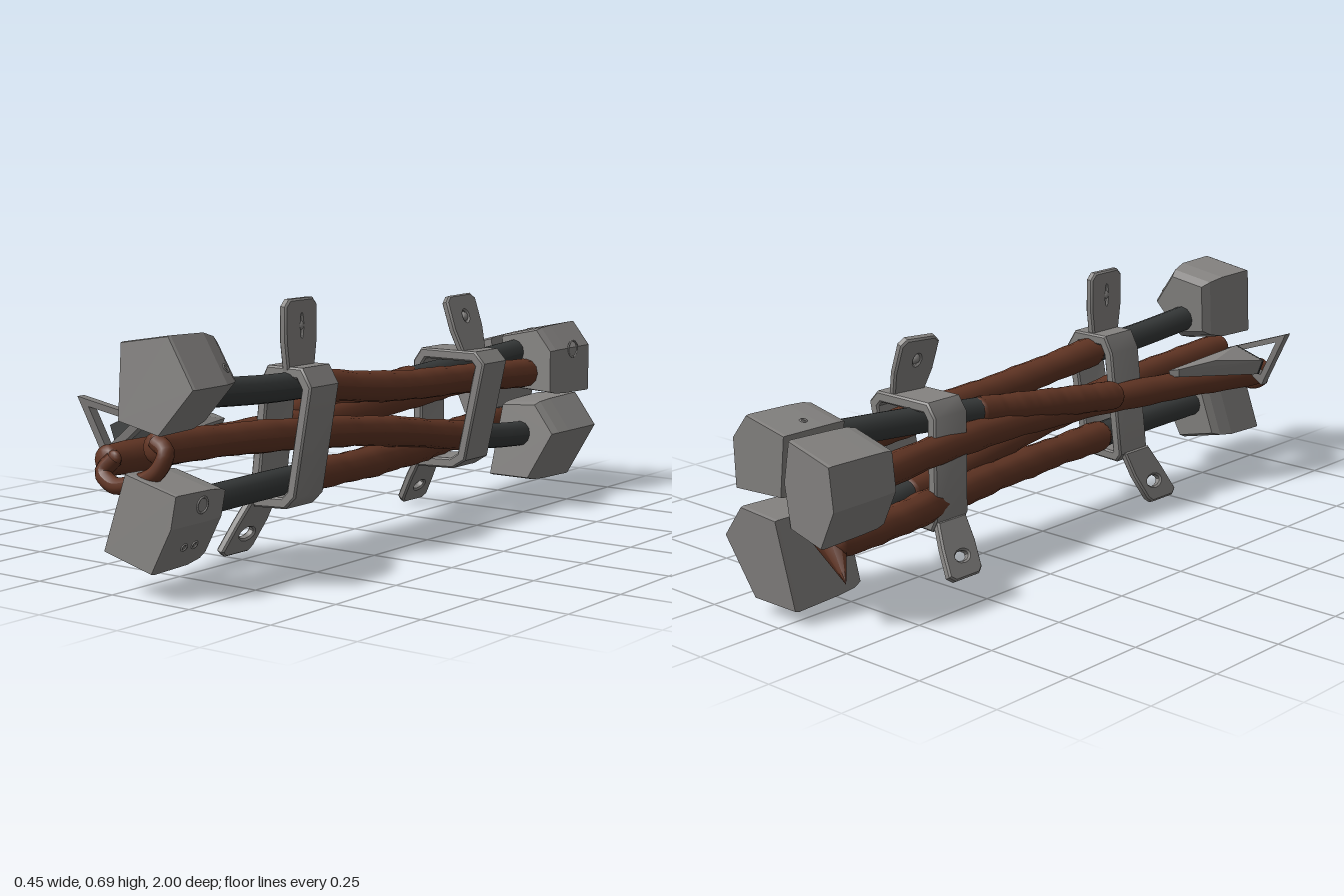
import * as THREE from 'three';
import { toCreasedNormals } from 'three/addons/utils/BufferGeometryUtils.js';
import { ConvexGeometry } from 'three/addons/geometries/ConvexGeometry.js';

const mat = (name, color) => {
  const m = new THREE.MeshStandardMaterial({ color });
  m.name = name;
  return m;
};
const V = (p) => new THREE.Vector3(...p);

export function createModel() {
  const root = new THREE.Group();
  root.name = 'toolBundle';
  const steel = mat('greySteel', 0x858381);
  const iron = mat('darkIron', 0x363939);
  const wood = mat('brownWood', 0x613524);
  const add = (name, geo, material) => {
    const m = new THREE.Mesh(geo, material);
    m.name = name;
    root.add(m);
    return m;
  };

  // Round rod along a smooth path, with slightly uneven width and domed ends
  const rod = (name, pts, r, material, wobble = 0) => {
    const curve = new THREE.CatmullRomCurve3(pts.map(V));
    const n = 32, k = 12;
    const geo = new THREE.TubeGeometry(curve, n, r, k);
    const pos = geo.attributes.position, v = new THREE.Vector3();
    for (let i = 0; i <= n; i++) {
      const c = curve.getPointAt(i / n);
      const s = 1 + wobble * (Math.sin(i * 0.9) + Math.sin(i * 2.3)) * 0.5;
      for (let j = 0; j <= k; j++) {
        const id = i * (k + 1) + j;
        v.fromBufferAttribute(pos, id).sub(c).multiplyScalar(s).add(c);
        pos.setXYZ(id, v.x, v.y, v.z);
      }
    }
    geo.computeVertexNormals();
    add(name, geo, material);
    for (const p of [pts[0], pts[pts.length - 1]]) {
      const end = add(name + 'End', new THREE.SphereGeometry(r * 0.97, 12, 8), material);
      end.position.copy(V(p));
      end.scale.z = 0.6;
    }
  };

  // Rods and handles
  rod('upperFrontShaft', [[0.09, 0.49, 0.8], [0.09, 0.47, 0.5], [0.09, 0.465, 0.3]], 0.038, iron);
  rod('upperFrontHandle', [[0.09, 0.463, 0.32], [0.115, 0.425, 0], [0.115, 0.405, -0.4], [0.105, 0.385, -0.75]], 0.043, wood, 0.05);
  rod('lowerFrontShaft', [[0.08, 0.21, 0.82], [0.07, 0.212, 0.5], [0.06, 0.21, 0.3]], 0.038, iron);
  rod('lowerFrontHandle', [[0.06, 0.21, 0.32], [0.05, 0.205, 0], [0, 0.205, -0.4], [-0.05, 0.21, -0.62], [-0.068, 0.215, -0.86]], 0.044, wood, 0.08);
  rod('upperRearShaft', [[0.06, 0.45, -0.8], [0.045, 0.43, -0.5], [0.02, 0.41, -0.22]], 0.038, iron);
  rod('upperRearHandle', [[0.02, 0.41, -0.24], [0, 0.385, 0], [-0.03, 0.36, 0.27]], 0.042, wood, 0.05);
  rod('lowerRearShaft', [[0.08, 0.19, -0.8], [0.075, 0.205, -0.6], [0.07, 0.225, -0.44]], 0.038, iron);
  rod('lowerRearHandle', [[0.07, 0.223, -0.46], [0.07, 0.295, 0], [0.08, 0.345, 0.5], [0.075, 0.367, 0.91]], 0.043, wood, 0.06);
  rod('sideRearHandle', [[-0.09, 0.36, -0.78], [-0.02, 0.36, -0.35], [0.01, 0.345, 0.1], [-0.02, 0.335, 0.45], [-0.09, 0.32, 0.91]], 0.042, wood, 0.06);

  // Strap looped between the two handle ends
  rod('handleLoop', [[0.08, 0.385, 0.92], [0.12, 0.365, 0.93], [0.1, 0.315, 0.94], [0.03, 0.28, 0.945],
    [-0.04, 0.268, 0.945], [-0.085, 0.295, 0.935], [-0.06, 0.33, 0.92]], 0.022, wood);

  // Splintered tip of the lower handle
  const splinter = add('handleSplinter', new THREE.ConeGeometry(0.044, 0.14, 8), wood);
  splinter.position.set(-0.097, 0.175, -0.88);
  splinter.quaternion.setFromUnitVectors(new THREE.Vector3(0, 1, 0), V([-0.72, -0.62, -0.3]).normalize());

  // Many-sided head: wide striking face, rounded shoulders, narrower neck, leaning in z
  const head = (name, outline, face, neck, shrink, lean) => {
    const cx = outline.reduce((s, p) => s + p[0], 0) / outline.length;
    const cy = outline.reduce((s, p) => s + p[1], 0) / outline.length;
    const rings = [[0, 0.98], [0.04, 1], [0.65, 0.97], [0.88, (shrink + 1) / 2], [1, shrink]];
    const pts = rings.flatMap(([t, s]) => outline.map(([x, y]) => new THREE.Vector3(
      cx + (x - cx) * s, cy + (y - cy) * s, face + (neck - face) * t + (y - cy) * s * lean)));
    return add(name, new ConvexGeometry(pts), steel);
  };
  const heads = {
    frontUpper: head('frontUpperHead', [[-0.02, 0.625], [0.135, 0.65], [0.225, 0.525], [0.12, 0.405], [-0.015, 0.43]], 0.945, 0.745, 0.72, -0.1),
    frontLower: head('frontLowerHead', [[-0.03, 0.11], [0.13, 0.072], [0.188, 0.19], [0.2, 0.272], [0.03, 0.31]], 0.99, 0.785, 0.8, -0.08),
    rearUpper: head('rearUpperHead', [[0, 0.5], [0.03, 0.33], [0.205, 0.32], [0.2, 0.46], [0.14, 0.53]], -0.955, -0.74, 0.88, -0.06),
    rearLower: head('rearLowerHead', [[-0.03, 0.045], [0.125, 0.045], [0.21, 0.205], [0.13, 0.3], [0, 0.29]], -0.983, -0.745, 0.88, -0.13),
  };
  head('rearSideHead', [[-0.165, 0.455], [-0.175, 0.34], [-0.12, 0.23], [-0.01, 0.26], [0.005, 0.38], [-0.02, 0.495]], -0.96, -0.74, 0.9, -0.03);

  // Small raised rims around the drill marks on the heads
  const ray = new THREE.Raycaster();
  const drill = (target, from, dir, r) => {
    ray.set(V(from), V(dir));
    const hit = ray.intersectObject(target)[0];
    const rim = add('drillRim', new THREE.TorusGeometry(r, 0.003, 6, 18), steel);
    rim.position.copy(hit.point);
    rim.quaternion.setFromUnitVectors(new THREE.Vector3(0, 0, 1), hit.face.normal);
  };
  const side = [-1, 0, 0];
  drill(heads.rearUpper, [1, 0.455, -0.86], side, 0.025);
  drill(heads.frontLower, [1, 0.235, 0.88], side, 0.02);
  drill(heads.frontLower, [1, 0.13, 0.91], side, 0.009);
  drill(heads.frontLower, [1, 0.13, 0.87], side, 0.009);
  drill(heads.frontUpper, [1, 0.56, 0.78], side, 0.01);
  drill(heads.rearUpper, [0.05, 1, -0.85], [0, -1, 0], 0.008);

  // Closed clamp band: counterclockwise outline with a mitred inner wall
  const band = (name, pts, z, width, lean) => {
    const P = pts.map(([x, y]) => new THREE.Vector2(x, y)), n = P.length, t = 0.02;
    const inner = P.map((p, i) => {
      const a = p.clone().sub(P[(i + n - 1) % n]).normalize();
      const b = P[(i + 1) % n].clone().sub(p).normalize();
      const na = new THREE.Vector2(-a.y, a.x), nb = new THREE.Vector2(-b.y, b.x);
      return p.clone().addScaledVector(na.clone().add(nb), t / (1 + na.dot(nb)));
    });
    const s = new THREE.Shape(P);
    s.holes.push(new THREE.Path(inner));
    const geo = new THREE.ExtrudeGeometry(s, { depth: width, bevelEnabled: true, bevelSize: 0.005, bevelThickness: 0.005, bevelSegments: 1 });
    geo.translate(0, 0, z - width / 2);
    const pos = geo.attributes.position;
    for (let i = 0; i < pos.count; i++) pos.setZ(i, pos.getZ(i) + (0.32 - pos.getY(i)) * lean);
    add(name, toCreasedNormals(geo, 0.7), steel);
  };
  band('frontClamp', [[-0.015, 0.165], [0, 0.145], [0.1, 0.15], [0.13, 0.18], [0.17, 0.47], [0.14, 0.515], [0.03, 0.515], [0.008, 0.47]], 0.375, 0.115, 0.06);
  band('rearClamp', [[-0.045, 0.17], [-0.03, 0.14], [0.09, 0.145], [0.13, 0.17], [0.193, 0.455], [0.165, 0.485], [-0.02, 0.485], [-0.045, 0.45]], -0.42, 0.115, 0);

  // Flat clamp tab in the y-z plane with a pierced eye, skewed along z
  const tab = (name, at, tilt, turn, h, w0, w1, skew, slot) => {
    const c = (v) => skew * v / h;
    const s = new THREE.Shape();
    s.moveTo(-w0 / 2, 0);
    s.lineTo(w0 / 2, 0);
    s.lineTo(w1 / 2 + c(h * 0.45), h * 0.45);
    s.lineTo(w1 / 2 + skew, h * 0.92);
    s.lineTo(w1 / 2 - 0.015 + skew, h);
    s.lineTo(-w1 / 2 + 0.015 + skew, h);
    s.lineTo(-w1 / 2 + skew, h * 0.92);
    s.lineTo(-w1 / 2 + c(h * 0.45), h * 0.45);
    const eye = new THREE.Path();
    eye.absellipse(c(h * 0.65), h * 0.65, slot[0], slot[1], 0, Math.PI * 2, true);
    s.holes.push(eye);
    const geo = new THREE.ExtrudeGeometry(s, { depth: 0.014, bevelSize: 0.005, bevelThickness: 0.005, bevelSegments: 1, curveSegments: 6 });
    geo.translate(0, 0, -0.007);
    geo.rotateY(-Math.PI / 2 + turn);
    const m = add(name, toCreasedNormals(geo, 0.7), steel);
    m.position.copy(V(at));
    m.rotation.z = tilt;
  };
  tab('frontUpperTab', [0.09, 0.5, 0.37], 0, 0, 0.192, 0.1, 0.125, 0, [0.008, 0.035]);
  tab('rearUpperTab', [0.12, 0.475, -0.42], 0.32, -0.12, 0.175, 0.09, 0.12, 0, [0.016, 0.022]);
  tab('frontLowerTab', [-0.015, 0.16, 0.395], Math.PI - 0.33, 0, 0.155, 0.1, 0.12, 0.06, [0.035, 0.022]);
  tab('rearLowerTab', [-0.04, 0.155, -0.42], Math.PI - 0.5, 0, 0.155, 0.1, 0.115, -0.02, [0.03, 0.02]);

  // Rivets in the eyes of the upper tabs
  for (const p of [[0.09, 0.625, 0.37], [0.084, 0.583, -0.42]]) {
    add('tabRivet', new THREE.SphereGeometry(0.015, 10, 8), steel).position.copy(V(p));
  }

  // Tapered hollow bracket: leaf-shaped shell with a dark mouth
  const mouth = [[-0.182, 0.388, 0.8], [-0.105, 0.43, 0.765], [-0.03, 0.365, 0.735], [-0.07, 0.338, 0.76], [-0.165, 0.343, 0.8]];
  const tail = [[-0.075, 0.395, 0.525], [-0.035, 0.385, 0.525], [-0.04, 0.365, 0.53], [-0.07, 0.37, 0.53], [-0.12, 0.408, 0.64]];
  add('bracketLeaf', new ConvexGeometry([...mouth, ...tail].map(V)), steel);
  add('bracketMouth', new ConvexGeometry(mouth.flatMap(([x, y, z]) => [V([x, y, z - 0.002]), V([x, y, z + 0.005])])), iron);

  // Open triangular ring of flat bar in front of the mouth, slanting back toward the centre
  const ring = new THREE.Shape([[-0.226, 0.467], [-0.163, 0.304], [-0.06, 0.412]].map((p) => new THREE.Vector2(...p)));
  ring.holes.push(new THREE.Path([[-0.2, 0.441], [-0.159, 0.336], [-0.093, 0.406]].map((p) => new THREE.Vector2(...p))));
  const ringGeo = new THREE.ExtrudeGeometry(ring, { depth: 0.025, bevelEnabled: false });
  const rp = ringGeo.attributes.position;
  for (let i = 0; i < rp.count; i++) rp.setZ(i, rp.getZ(i) + 0.745 - 0.47 * rp.getX(i));
  add('bracketRing', toCreasedNormals(ringGeo, 0.7), steel);
  return root;
}
